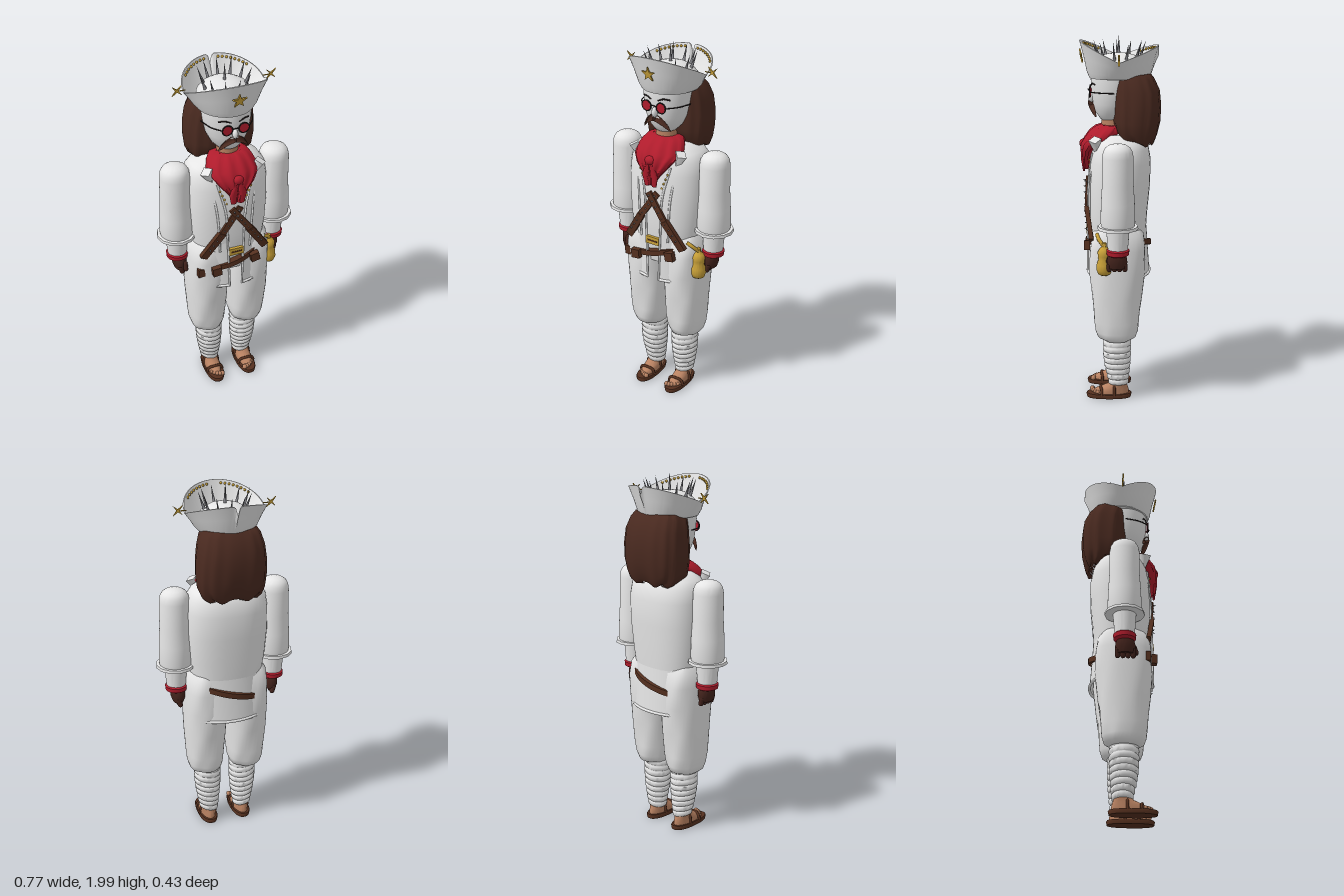
import * as THREE from 'three';
import { toCreasedNormals } from 'three/addons/utils/BufferGeometryUtils.js';

const mat = (name, color, side = THREE.FrontSide) => {
  const m = new THREE.MeshStandardMaterial({ color, side });
  m.name = name;
  return m;
};
const V = (x, y, z) => new THREE.Vector3(x, y, z);

// Closed skin through elliptical rings [y, rx, rz, cx, cz]; p squares the rings off, warp moves points
function loft(rings, { n = 40, p = 2, warp, caps = true } = {}) {
  const r = rings.map(([y, rx, rz, cx = 0, cz = 0]) => [y, rx, rz, cx, cz]);
  const cap = ([y, , , cx, cz]) => [y, 0, 0, cx, cz];
  const all = caps ? [cap(r[0]), ...r, cap(r[r.length - 1])] : r;
  const sp = t => Math.sign(t) * Math.abs(t) ** (2 / p);
  const pos = [], idx = [];
  all.forEach(([y, rx, rz, cx, cz]) => {
    for (let j = 0; j < n; j++) {
      const a = j / n * Math.PI * 2;
      const v = V(cx + rx * sp(Math.cos(a)), y, cz + rz * sp(Math.sin(a)));
      if (warp) warp(v, a, cx, cz);
      pos.push(v.x, v.y, v.z);
    }
  });
  for (let i = 0; i < all.length - 1; i++) for (let j = 0; j < n; j++) {
    const k = (j + 1) % n, a = i * n + j, b = a + n, c = i * n + k, d = c + n;
    if (!caps || i > 0) idx.push(a, b, c);
    if (!caps || i < all.length - 2) idx.push(b, d, c);
    if (caps && i === 0) idx.splice(idx.length - 3, 3, a, b, d);
  }
  const g = new THREE.BufferGeometry();
  g.setAttribute('position', new THREE.Float32BufferAttribute(pos, 3));
  g.setIndex(idx);
  return toCreasedNormals(g, 0.9);
}

const tube = (pts, r, seg = 20) =>
  new THREE.TubeGeometry(new THREE.CatmullRomCurve3(pts.map(p => V(...p))), seg, r, 8);

function star(n, R, r, depth = 0.008) {
  const s = new THREE.Shape();
  for (let i = 0; i < 2 * n; i++) {
    const a = i / n * Math.PI + Math.PI / 2, q = i % 2 ? r : R;
    s[i ? 'lineTo' : 'moveTo'](q * Math.cos(a), q * Math.sin(a));
  }
  return new THREE.ExtrudeGeometry(s, { depth, bevelEnabled: false }).translate(0, 0, -depth / 2);
}

export function createModel() {
  const white = mat('white cloth', 0xe6e6e6), cloth = mat('white sheet', 0xe4e4e4, THREE.DoubleSide);
  const hair = mat('hair brown', 0x4a2a20), leather = mat('leather', 0x55301f), glove = mat('dark glove', 0x43231c);
  const red = mat('red', 0xb01c2c), gold = mat('gold', 0xc8a038), skin = mat('skin', 0xb98262);
  const steel = mat('steel', 0x85858a), black = mat('black', 0x231c1c);
  const model = new THREE.Group();
  const add = (name, geo, m, at, parent = model) => {
    const mesh = new THREE.Mesh(geo, m);
    mesh.name = name;
    if (at) mesh.position.set(...at);
    parent.add(mesh);
    return mesh;
  };
  const box = (name, w, h, d, m, at, rz = 0) => {
    const b = add(name, new THREE.BoxGeometry(w, h, d), m, at);
    b.rotation.z = rz;
    return b;
  };

  // Jacket body
  add('jacket', loft([[0.8, 0.18, 0.13, 0, 0.01], [0.95, 0.2, 0.152, 0, 0.014], [1.05, 0.215, 0.158, 0, 0.014],
    [1.2, 0.225, 0.165, 0, 0.007], [1.33, 0.222, 0.163, 0, 0.002], [1.4, 0.212, 0.15, 0, 0.002],
    [1.44, 0.185, 0.13, 0, 0.005], [1.475, 0.12, 0.09, 0, 0.015]], { p: 2.4 }), white);

  // Open coat skirt: one panel behind, two narrow ones in front, each with a rolled hem
  const panel = (name, a0, a1, rx, rz, yTop, rzTop, y0) => {
    const at = (a, t) => [rx * Math.cos(a), y0 + t * (yTop - y0), (rz + t * (rzTop - rz)) * Math.sin(a)];
    const g = new THREE.PlaneGeometry(1, 1, 16, 6), q = g.attributes.position;
    for (let i = 0; i < q.count; i++) q.setXYZ(i, ...at(a0 + (q.getX(i) + 0.5) * (a1 - a0), q.getY(i) + 0.5));
    g.computeVertexNormals();
    add(name, g, cloth);
    const hem = [0, 0.25, 0.5, 0.75, 1].map(u => at(a0 + u * (a1 - a0), 0));
    add(name + 'Hem', tube(hem, 0.008), white);
  };
  panel('coatBack', -Math.PI / 2 - 0.78, -Math.PI / 2 + 0.78, 0.23, 0.157, 0.96, 0.14, 0.715);
  for (const s of [1, -1]) {
    panel('coatFront', Math.PI / 2 - s * 0.14, Math.PI / 2 - s * 0.52, 0.23, 0.18, 1.0, 0.172, 0.715);
    add('lapelEdge', tube([[s * 0.095, 1.38, 0.15], [s * 0.055, 1.2, 0.172], [s * 0.045, 1, 0.176], [s * 0.035, 0.715, 0.18]], 0.006), white);
    add('lapelFold', tube([[s * 0.13, 1.42, 0.12], [s * 0.1, 1.2, 0.162], [s * 0.085, 0.95, 0.165]], 0.006), white);
    add('collar', new THREE.ConeGeometry(0.035, 0.13, 4), white, [s * 0.12, 1.4, 0.125]).rotation.set(0.15, 0, s * 2.7);
    for (let i = 0; i < 4; i++) add('stud', new THREE.SphereGeometry(0.006, 8, 6), gold, [s * (0.085 - i * 0.012), 1.34 - i * 0.028, 0.165]);
  }

  for (const s of [1, -1]) {
    // Arms
    const arm = new THREE.Group();
    arm.name = s > 0 ? 'leftArm' : 'rightArm';
    model.add(arm);
    const c = s * 0.277, z = 0.014;
    const round = (list, cx = c, cz = z) => loft(list.map(([y, r, k = r]) => [y, r, k, cx, cz]));
    add('sleeve', round([[1.02, 0.085], [1.05, 0.09], [1.15, 0.087], [1.25, 0.081], [1.39, 0.08], [1.42, 0.075],
      [1.44, 0.064], [1.453, 0.045], [1.46, 0.02]]), white, null, arm);
    add('sleeveRim', new THREE.CylinderGeometry(0.104, 0.106, 0.016, 12), white, [s * 0.278, 1.024, 0.014], arm);
    add('forearm', round([[0.88, 0.05], [0.95, 0.056], [1.03, 0.062]]), white, null, arm);
    add('cuff', round([[0.872, 0.05], [0.877, 0.058], [0.9, 0.06], [0.907, 0.052]]), red, null, arm);
    add('hand', round([[0.8, 0.028, 0.045], [0.83, 0.038, 0.054], [0.86, 0.038, 0.05], [0.885, 0.036, 0.04]], s * 0.268, 0.018), glove, null, arm);
    for (let i = 0; i < 4; i++)
      add('finger', new THREE.CapsuleGeometry(0.014, 0.03, 4, 10), glove, [s * 0.27, 0.805, -0.022 + i * 0.027], arm).rotation.z = s * -0.3;
    add('thumb', new THREE.CapsuleGeometry(0.013, 0.035, 4, 10), glove, [s * 0.25, 0.83, 0.07], arm).rotation.x = -0.3;

    // Legs
    const leg = new THREE.Group();
    leg.name = s > 0 ? 'leftLeg' : 'rightLeg';
    model.add(leg);
    const x = s * 0.118;
    add('trouserLeg', loft([[0.35, 0.07, 0.075, x, 0.02], [0.365, 0.088, 0.1, x, 0.02], [0.4, 0.098, 0.113, x, 0.02],
      [0.46, 0.104, 0.122, x, 0.021], [0.6, 0.113, 0.135, x, 0.02], [0.75, 0.117, 0.15, x, 0.018],
      [0.87, 0.116, 0.15, x, 0.016], [0.95, 0.106, 0.138, x, 0.016], [1.0, 0.08, 0.1, s * 0.11, 0.014]], {
      p: 2.3, warp: (v, a) => { v.z += 0.004 * Math.sin(5 * a + v.y * 18); } }), white, null, leg);
    const wraps = [];
    for (let i = 0; i < 9; i++) {
      const y = 0.075 + i * 0.033, t = Math.sin(Math.min(1, i / 6) * Math.PI / 2), r = 0.05 + 0.022 * t;
      for (const [dy, k] of [[0, 0], [0.005, 0.005], [0.026, 0.006], [0.032, 0]])
        wraps.push([y + dy, r + k - 0.002, r + k, s * (0.1 + 0.004 * t), 0.012 + 0.008 * t]);
    }
    add('legWrap', loft(wraps, { warp: (v, a) => { v.y += s * 0.008 * Math.cos(a); } }), white, null, leg);
    add('sandalSole', loft([[0, 0.05, 0.122, s * 0.099, 0.065], [0.018, 0.053, 0.126, s * 0.099, 0.065], [0.024, 0.05, 0.122, s * 0.099, 0.065]], { p: 2.4 }), leather, null, leg);
    add('foot', loft([[0.02, 0.042, 0.1, s * 0.099, 0.055], [0.04, 0.043, 0.098, s * 0.099, 0.053],
      [0.058, 0.04, 0.075, s * 0.099, 0.035], [0.075, 0.038, 0.052, s * 0.1, 0.018], [0.1, 0.04, 0.042, s * 0.1, 0.012]]), skin, null, leg);
    for (let i = 0; i < 5; i++)
      add('toe', new THREE.SphereGeometry(0.014 - i * 0.001, 10, 8), skin, [s * (0.071 + i * 0.014), 0.034, 0.158 - i * i * 0.002], leg);
    for (const [sz, h] of [[0.105, 0.05], [0.035, 0.07]])
      add('sandalStrap', tube([[s * 0.052, 0.02, sz], [s * 0.062, h - 0.004, sz], [s * 0.1, h + 0.008, sz + 0.006], [s * 0.137, h - 0.004, sz], [s * 0.147, 0.02, sz]], 0.008), leather, null, leg);
  }

  // Crossed bandoliers with holsters and studs
  for (const s of [1, -1]) {
    const strap = (name, a, b, w, d) => {
      const A = V(...a), B = V(...b), m = add(name, new THREE.BoxGeometry(w, A.distanceTo(B), d), leather);
      m.position.copy(A).lerp(B, 0.5);
      m.quaternion.setFromUnitVectors(V(0, 1, 0), A.clone().sub(B).normalize());
    };
    const dz = s * 0.004;
    strap('bandolier', [-s * 0.025, 1.225, 0.178 + dz], [s * 0.09, 1.06, 0.182 + dz], 0.036, 0.012);
    strap('holster', [s * 0.075, 1.08, 0.178 + dz], [s * 0.175, 0.925, 0.15 + dz], 0.042, 0.024);
    for (let i = 0; i < 9; i++) {
      const t = i / 8;
      add('bullet', new THREE.ConeGeometry(0.005, 0.014, 6), steel, [s * (-0.015 + 0.16 * t), 1.21 - 0.23 * t, 0.194 - 0.012 * t + dz]).rotation.x = Math.PI / 2;
    }
  }

  // Slanted belt, buckle and pouches
  add('belt', loft([[0.853, 0.205, 0.172, 0, 0.011], [0.855, 0.208, 0.177, 0, 0.011], [0.885, 0.208, 0.177, 0, 0.011], [0.887, 0.205, 0.172, 0, 0.011]],
    { warp: v => { v.y += 0.27 * v.x; } }), leather);
  box('buckle', 0.08, 0.042, 0.016, gold, [0, 0.945, 0.178]);
  box('buckleBar', 0.06, 0.008, 0.02, leather, [0, 0.945, 0.178]);
  box('pouch', 0.04, 0.05, 0.04, leather, [-0.185, 0.822, 0.135]);
  box('pouch', 0.05, 0.05, 0.03, leather, [-0.11, 0.838, 0.18], 0.1);
  box('pouch', 0.05, 0.05, 0.03, leather, [0.108, 0.88, 0.18], 0.2);

  // Gourd bottle at the left hip
  add('gourd', loft([[0.75, 0.02], [0.758, 0.033], [0.78, 0.041], [0.81, 0.04], [0.835, 0.031], [0.855, 0.033], [0.875, 0.035], [0.893, 0.026], [0.905, 0.012], [0.925, 0.011]]
    .map(([y, r]) => [y, r, r, 0.23, 0.086])), gold);
  add('gourdCord', tube([[0.23, 0.91, 0.09], [0.21, 0.94, 0.115], [0.18, 0.96, 0.125]], 0.01), gold);

  // Neck and scarf
  add('neck', new THREE.CylinderGeometry(0.055, 0.06, 0.14, 24), skin, [0, 1.5, 0.045]);
  add('scarf', loft([[1.275, 0.012, 0.01, 0, 0.187], [1.33, 0.05, 0.02, 0, 0.185], [1.385, 0.095, 0.032, 0, 0.176],
    [1.42, 0.12, 0.055, 0, 0.152], [1.45, 0.135, 0.085, 0, 0.105], [1.485, 0.12, 0.09, 0, 0.075], [1.51, 0.1, 0.078, 0, 0.055], [1.518, 0.075, 0.06, 0, 0.05]],
    { n: 72, warp: (v, a) => { v.z += 0.005 * Math.sin(11 * a); } }), red);
  add('scarfKnot', new THREE.SphereGeometry(0.03, 16, 12).scale(1, 0.8, 0.7), red, [0, 1.415, 0.2]);
  for (const s of [1, -1])
    add('scarfTail', loft([[1.27, 0.014, 0.006, s * 0.022, 0.196], [1.33, 0.022, 0.011, s * 0.026, 0.2], [1.41, 0.01, 0.01, s * 0.008, 0.205]]), red);

  // Head and face
  add('head', loft([[1.535, 0.03, 0.03, 0, 0.06], [1.55, 0.06, 0.055, 0, 0.055], [1.58, 0.088, 0.085, 0, 0.045], [1.63, 0.112, 0.11, 0, 0.036],
    [1.7, 0.125, 0.125, 0, 0.03], [1.76, 0.13, 0.13, 0, 0.028], [1.81, 0.13, 0.13, 0, 0.025]]), white);
  add('nose', new THREE.SphereGeometry(0.018, 14, 10).scale(0.8, 1.5, 1), white, [0, 1.662, 0.155]);
  add('bridge', tube([[-0.02, 1.695, 0.163], [0, 1.703, 0.172], [0.02, 1.695, 0.163]], 0.003), black);
  for (const s of [1, -1]) {
    add('lens', new THREE.CylinderGeometry(0.026, 0.026, 0.008, 28).rotateX(Math.PI / 2), red, [s * 0.044, 1.693, 0.16]);
    add('lensRim', new THREE.TorusGeometry(0.027, 0.0035, 8, 28), black, [s * 0.044, 1.693, 0.162]);
    add('glassesArm', tube([[s * 0.07, 1.695, 0.16], [s * 0.11, 1.695, 0.11], [s * 0.135, 1.695, 0.03]], 0.003), black);
    add('eyebrow', tube([[s * 0.02, 1.727, 0.153], [s * 0.05, 1.738, 0.148], [s * 0.08, 1.732, 0.13]], 0.004), black);
    add('moustache', loft([[0, 0.016, 0.014], [0.03, 0.019, 0.014], [0.06, 0.016, 0.013], [0.085, 0.01, 0.01], [0.1, 0.003, 0.003]], { n: 16,
      warp: v => { const t = v.y, w = v.x; v.set(s * t * 0.8, 1.634 - 6.5 * t * t + w * s, 0.16 - 3 * t * t + v.z); } }), hair);
  }

  // Long hair, flat beside the face and wavy behind
  add('hair', loft([[1.425, 0.13, 0.055, 0, -0.115], [1.44, 0.158, 0.085, 0, -0.095], [1.48, 0.175, 0.11, 0, -0.085], [1.54, 0.182, 0.123, 0, -0.085],
    [1.62, 0.182, 0.126, 0, -0.086], [1.7, 0.172, 0.122, 0, -0.082], [1.76, 0.155, 0.108, 0, -0.068], [1.79, 0.135, 0.095, 0, -0.058]],
    { n: 96, p: 2.7, warp: (v, a, cx, cz) => {
      const k = 1 + 0.014 * Math.sin(13 * a + v.y * 5);
      v.x *= k; v.z = cz + (v.z - cz) * k;
      if (v.y < 1.5) v.y += 0.01 * Math.sin(7 * a);
    } }), hair);

  // Hat: dome, upturned brim with a split at the back
  add('hatDome', loft([[1.765, 0.148, 0.155, 0, 0.01], [1.8, 0.147, 0.154, 0, 0.01], [1.83, 0.14, 0.146, 0, 0.01], [1.86, 0.115, 0.12, 0, 0.01],
    [1.88, 0.08, 0.085, 0, 0.01], [1.89, 0.045, 0.05, 0, 0.01], [1.893, 0.015, 0.015, 0, 0.01]]), white);
  const rise = (a, t) => {
    const q = Math.sin(a);
    return t * ((q > 0 ? 0.1 * q : -0.075 * q) - 0.05 * Math.exp(-(((a - Math.PI * 1.5) / 0.04) ** 2)));
  };
  add('hatBrim', loft([[1.768, 0.15, 0.158, 0, 0.008], [1.785, 0.165, 0.17, 0, 0.008], [1.82, 0.187, 0.186, 0, 0.008], [1.858, 0.215, 0.208, 0, 0.008],
    [1.859, 0.209, 0.202, 0, 0.008], [1.82, 0.179, 0.178, 0, 0.008], [1.79, 0.145, 0.15, 0, 0.008]],
    { n: 120, caps: false, warp: (v, a) => { v.y += rise(a, THREE.MathUtils.clamp((v.y - 1.775) / 0.083, 0, 1)); } }), cloth);
  for (const f of [1, -1]) for (const s of [1, -1]) for (let i = 0; i < 8; i++) {
    const a = f * (0.62 + i * 0.108), d = f > 0 ? 1 : 2 * Math.PI;
    add('brimBead', new THREE.SphereGeometry(0.007, 8, 6), gold,
      [s * 0.2 * Math.cos(a), 1.849 + rise(f > 0 ? a : a + d, 0.93), 0.008 + 0.193 * Math.sin(a)]);
  }

  // Spikes on the dome
  const spike = (x, y, z, h, tx, tz) => {
    const m = add('spike', new THREE.ConeGeometry(0.009, h, 8).translate(0, h / 2, 0), steel, [x, y, z]);
    m.quaternion.setFromUnitVectors(V(0, 1, 0), V(tx, 1, tz).normalize());
  };
  for (let i = 0; i < 11; i++) {
    const a = i / 11 * Math.PI * 2 + 0.2, c = Math.cos(a), q = Math.sin(a);
    spike(0.104 * c, 1.86, 0.01 + 0.108 * q, 0.1, 0.35 * c, 0.35 * q);
  }
  spike(0, 1.885, 0.01, 0.1, 0, 0);

  // Gold stars
  add('frontStar', star(5, 0.04, 0.016), gold, [0, 1.875, 0.207]).rotation.x = 0.2;
  for (const s of [1, -1]) {
    add('sideStar', star(4, 0.036, 0.007), gold, [s * 0.248, 1.875, 0.008]).rotation.z = Math.PI / 4;
    add('sideStarPin', new THREE.CylinderGeometry(0.003, 0.003, 0.04, 8).rotateZ(Math.PI / 2), gold, [s * 0.225, 1.873, 0.008]);
  }
  return model;
}
